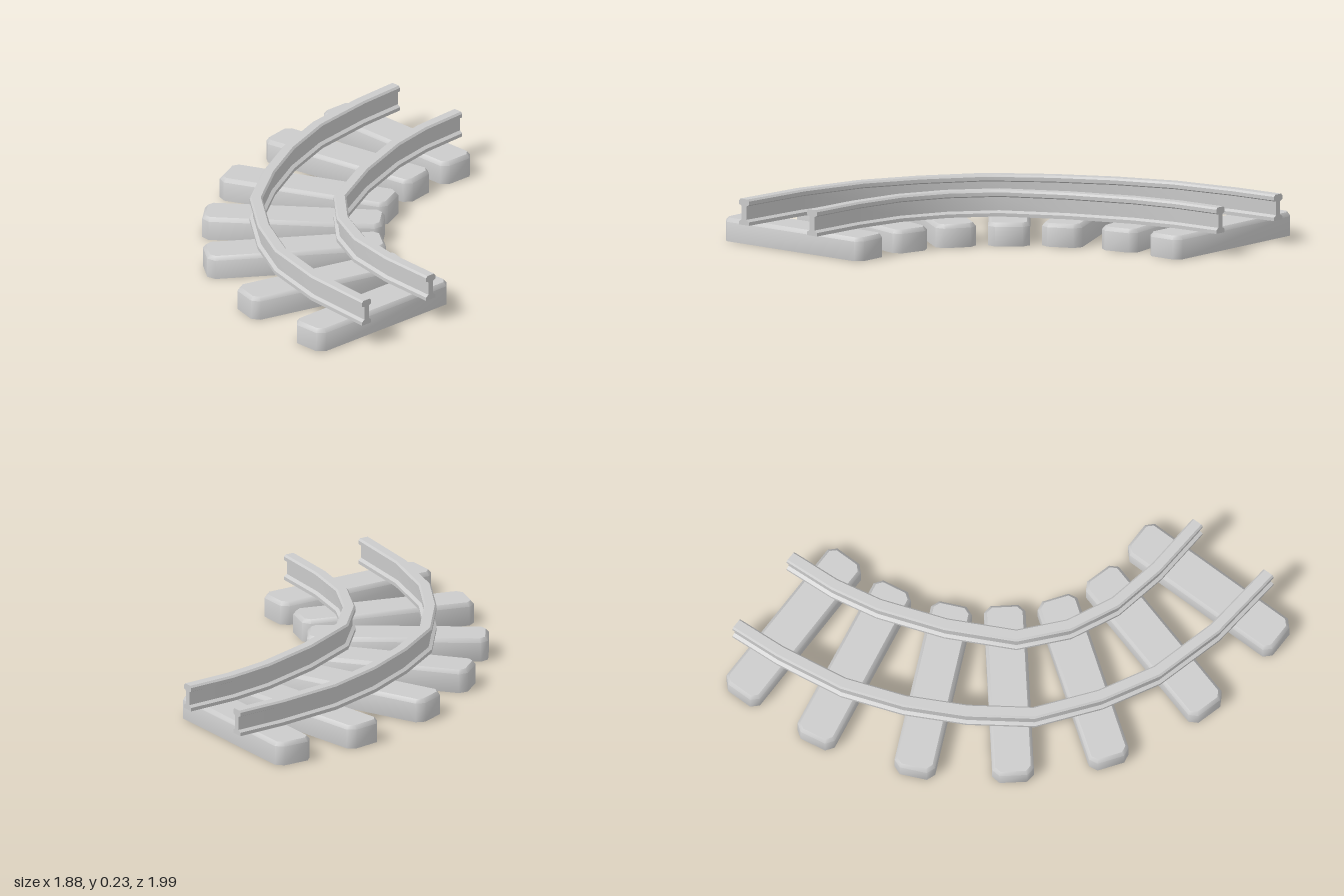
import * as THREE from 'three';
import { mergeVertices, toCreasedNormals } from 'three/addons/utils/BufferGeometryUtils.js';

const material = new THREE.MeshStandardMaterial({ color: 0xcccccc, side: THREE.DoubleSide });

// Skins a series of equal rings; outline is the 2D ring shape used for the caps.
function loft(rings, outline, capStart, capEnd, crease) {
  const n = outline.length;
  const index = [];
  for (let j = 0; j < rings.length - 1; j++) {
    for (let i = 0; i < n; i++) {
      const k = (i + 1) % n;
      const a = j * n + i, b = j * n + k, c = b + n, d = a + n;
      index.push(a, b, c, a, c, d);
    }
  }
  const last = (rings.length - 1) * n;
  for (const [a, b, c] of THREE.ShapeUtils.triangulateShape(outline, [])) {
    if (capStart) index.push(a, c, b);
    if (capEnd) index.push(last + a, last + b, last + c);
  }
  const geometry = new THREE.BufferGeometry();
  geometry.setAttribute('position', new THREE.Float32BufferAttribute(rings.flat(2), 3));
  geometry.setIndex(index);
  return mergeVertices(toCreasedNormals(geometry, crease));
}

// Sleeper: chamfered block with a bevelled top, hollow underneath.
const LENGTH = 0.825, WIDTH = 0.19, HEIGHT = 0.108;

function sleeperOutline(inset) {
  const x = LENGTH / 2 - inset, z = WIDTH / 2 - inset, c = 0.032 - inset * 0.6;
  return [[z, -x + c], [z, x - c], [z - c, x], [-z + c, x],
    [-z, x - c], [-z, -x + c], [-z + c, -x], [z - c, -x]].map(([a, b]) => new THREE.Vector2(a, b));
}

function sleeperGeometry() {
  const levels = [[0, 0], [HEIGHT - 0.018, 0], [HEIGHT, 0.014]];
  const rings = levels.map(([y, inset]) => sleeperOutline(inset).map((p) => [p.y, y, p.x]));
  return loft(rings, sleeperOutline(0), false, true, 0.85);
}

// Rail: I-section swept along a bent path with mitred joints.
const half = [[0.029, 0.108], [0.029, 0.124], [0.014, 0.134], [0.014, 0.196],
  [0.029, 0.203], [0.029, 0.220], [0.021, 0.229]];
const railSection = [...half, ...half.map(([x, y]) => [-x, y]).reverse()]
  .map(([x, y]) => new THREE.Vector2(x, y));

function railGeometry(points) {
  const path = points.map(([x, z]) => new THREE.Vector2(x, z));
  const last = path.length - 1;
  const rings = path.map((p, j) => {
    // Ends are cut square to the axes
    let t = new THREE.Vector2(0, 1), miter = 1;
    if (j === last) t.set(1, 0);
    else if (j > 0) {
      const before = p.clone().sub(path[j - 1]).normalize();
      const after = path[j + 1].clone().sub(p).normalize();
      t = before.clone().add(after).normalize();
      miter = 1 / t.dot(before);
    }
    return railSection.map((s) => [p.x + t.y * s.x * miter, s.y, p.y - t.x * s.x * miter]);
  });
  return loft(rings, railSection, true, true, 0.6);
}

export function createModel() {
  const track = new THREE.Group();
  track.name = 'curvedTrack';

  const add = (name, geometry) => {
    const mesh = new THREE.Mesh(geometry, material);
    mesh.name = name;
    track.add(mesh);
    return mesh;
  };

  // Sleepers fanned around the bend: x, z, turn in degrees
  const sleepers = [[-0.53, -0.82, 0], [-0.51, -0.49, 10], [-0.39, -0.13, 24.5],
    [-0.195, 0.155, 40], [0.055, 0.39, 55], [0.395, 0.535, 75], [0.755, 0.577, 90]];
  const block = sleeperGeometry();
  sleepers.forEach(([x, z, turn], i) => {
    const sleeper = add(`sleeper${i + 1}`, block);
    sleeper.position.set(x, 0, z);
    sleeper.rotation.y = THREE.MathUtils.degToRad(turn);
  });

  // Rails: x, z along each path
  add('outerRail', railGeometry([[-0.725, -1], [-0.71, -0.76], [-0.66, -0.44], [-0.56, -0.165],
    [-0.425, 0.09], [-0.25, 0.34], [0, 0.53], [0.25, 0.665], [0.575, 0.75], [0.935, 0.782]]));
  add('innerRail', railGeometry([[-0.317, -1], [-0.302, -0.76], [-0.258, -0.54], [-0.15, -0.24],
    [0, 0.05], [0.185, 0.21], [0.4, 0.312], [0.65, 0.36], [0.935, 0.377]]));

  return track;
}
